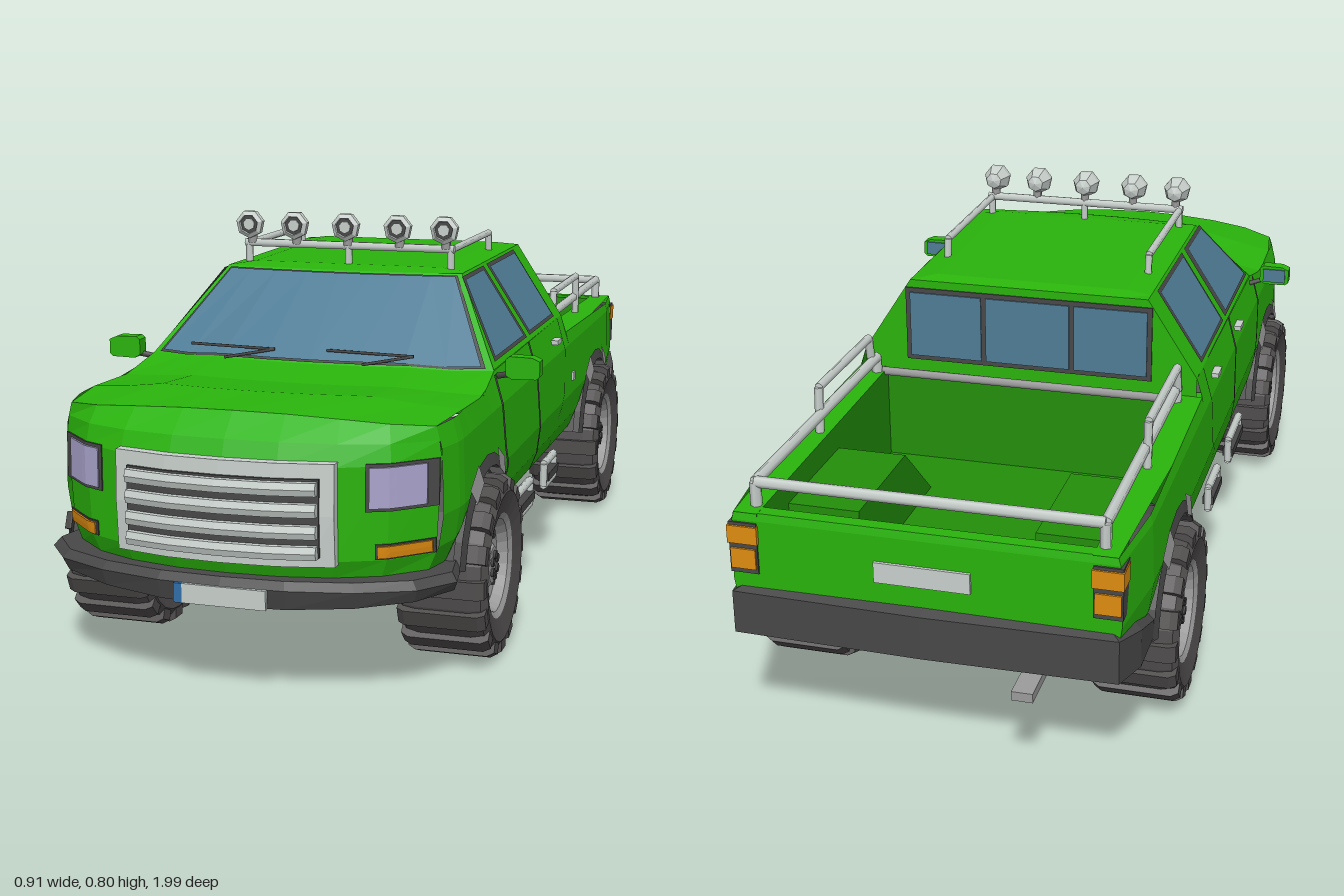
import * as THREE from 'three';
const mat = (name, color) => Object.assign(new THREE.MeshStandardMaterial({ color, side: THREE.DoubleSide }), { name });
const M = {
  green: mat('green paint', 0x2ab40c), bed: mat('bed green', 0x238f0b), trim: mat('dark trim', 0x484848), rubber: mat('tyre rubber', 0x504d4d),
  chrome: mat('chrome', 0xc8d0cc), rim: mat('rim grey', 0x9c9c9c), glass: mat('window glass', 0x507d96),
  lamp: mat('headlamp lens', 0xaaa4cc), orange: mat('indicator orange', 0xe08c10), blue: mat('plate blue', 0x2f6fa8),
};
// Linear lookup in a table of [key, value] with ascending keys
const interp = (t, v) => {
  if (v <= t[0][0]) return t[0][1];
  const i = t.findIndex(e => v <= e[0]);
  return i < 0 ? t[t.length - 1][1] : t[i - 1][1] + (t[i][1] - t[i - 1][1]) * (v - t[i - 1][0]) / (t[i][0] - t[i - 1][0]);
};
// Body rules: half width by height and z, top edge by z, nose plan by width fraction, nose lean by height
const WIDTH = [[0.22, 0.35], [0.28, 0.375], [0.34, 0.384], [0.46, 0.38], [0.5, 0.37], [0.53, 0.36]];
const TOP = [[-0.97, 0.475], [-0.271, 0.49], [-0.27, 0.53], [0.42, 0.525], [0.54, 0.5], [0.69, 0.505], [0.82, 0.5]];
const NOSE = [[0, 0.955], [0.28, 0.95], [0.56, 0.93], [0.8, 0.89], [1, 0.82]];
const LEAN = [[0.235, -0.015], [0.27, 0], [0.44, 0], [0.48, -0.015], [0.52, -0.06]];
const US = [-1, -0.8, -0.56, -0.28, 0, 0.28, 0.56, 0.8, 1];
const AXLES = [0.57, -0.6], WHEEL_Y = 0.177, ARCH = 0.2;
const sideX = (y, z) => interp(WIDTH, y) - Math.max(0, z - 0.75) * 0.25 - Math.max(0, -0.8 - z) * 0.12;
const noseZ = (x, y) => {
  const u = Math.min(1, Math.abs(x) / sideX(y, 0.82));
  return interp(NOSE, u) + interp(LEAN, y) * (1 - u ** 4);
};
const cabX = y => 0.36 - (y - 0.53) * 0.105 / 0.162;
const both = fn => [1, -1].forEach(fn);
const extrude = (pts, depth) => new THREE.ExtrudeGeometry(new THREE.Shape(pts.map(p => new THREE.Vector2(...p))), { depth, bevelEnabled: false });
const lathe = (pts, n) => {
  const g = new THREE.LatheGeometry(pts.map(p => new THREE.Vector2(...p)), n).toNonIndexed();
  g.computeVertexNormals();
  return g;
};

export function createModel() {
  const root = new THREE.Group();
  root.name = 'pickupTruck';
  const add = (name, geo, m, parent = root) => {
    const mesh = new THREE.Mesh(geo, m);
    mesh.name = name;
    parent.add(mesh);
    return mesh;
  };
  // Faceted sheet through rows of points
  const sheet = (name, m, rows) => {
    const p = [], g = new THREE.BufferGeometry();
    for (let i = 0; i < rows.length - 1; i++) for (let j = 0; j < rows[i].length - 1; j++) {
      const [a, b, c, d] = [rows[i][j], rows[i][j + 1], rows[i + 1][j + 1], rows[i + 1][j]];
      p.push(...a, ...b, ...c, ...a, ...c, ...d);
    }
    g.setAttribute('position', new THREE.Float32BufferAttribute(p, 3));
    g.computeVertexNormals();
    add(name, g, m);
  };
  const box = (name, m, x0, x1, y0, y1, z0, z1) => add(name,
    new THREE.BoxGeometry(x1 - x0, y1 - y0, z1 - z0).translate((x0 + x1) / 2, (y0 + y1) / 2, (z0 + z1) / 2), m);
  const bar = (name, m, a, b, r = 0.008) => {
    const A = new THREE.Vector3(...a), B = new THREE.Vector3(...b), d = B.clone().sub(A);
    const c = add(name, new THREE.CylinderGeometry(r, r, d.length(), 6), m);
    c.position.copy(A).add(B).multiplyScalar(0.5);
    c.quaternion.setFromUnitVectors(new THREE.Vector3(0, 1, 0), d.normalize());
  };
  const rail = (name, m, pts, r) => pts.slice(1).forEach((p, i) => bar(name, m, pts[i], p, r));

  // Body sides with wheel arches, liners and flares
  const bottom = z => AXLES.reduce((y, c) => Math.max(y, WHEEL_Y + Math.sqrt(Math.max(0, ARCH ** 2 - (z - c) ** 2))), z < -0.8 ? 0.28 : 0.235);
  const zs = [-0.97, -0.9, -0.271, -0.27, 0, 0.2, 0.42, 0.69, 0.82];
  for (const c of AXLES) for (let i = 0; i <= 10; i++) zs.push(c - ARCH * 0.9999 * Math.cos(i * Math.PI / 10));
  zs.sort((a, b) => a - b);
  both(s => {
    sheet('bodySide', M.green, zs.map(z => [0.235, 0.28, 0.34, 0.46, 1].map(l => {
      const y = Math.min(Math.max(l, bottom(z)), interp(TOP, z));
      return [s * sideX(y, z), y, z];
    })));
    for (const c of AXLES) {
      const arc = (a, r, x) => [s * x, WHEEL_Y + r * Math.sin(a), c + r * Math.cos(a)];
      const angles = Array.from({ length: 11 }, (_, i) => (0.07 + 0.086 * i) * Math.PI);
      sheet('archLiner', M.trim, angles.map(a => [arc(a, ARCH, 0.24), arc(a, ARCH, 0.37)]));
      sheet('archFlare', M.trim, angles.map(a => [arc(a, ARCH - 0.008, 0.36), arc(a, ARCH - 0.008, 0.392), arc(a, ARCH + 0.016, 0.386)]));
      for (const a of [0.34, 0.66]) sheet('flareInsert', M.rim, [-0.05, 0.05].map(d =>
        [ARCH - 0.012, ARCH - 0.012, ARCH + 0.028].map((r, i) => arc((a + d) * Math.PI, r, [0.37, 0.396, 0.388][i]))));
    }
    sheet('sill', M.green, [[[s * 0.25, 0.23, 0.37], [s * 0.25, 0.23, -0.4]], [[s * 0.357, 0.236, 0.37], [s * 0.357, 0.236, -0.4]]]);
  });

  // Nose and bonnet
  const noseRow = (y, drop = 0) => US.map(u => {
    const yy = y - drop * u * u, x = u * sideX(yy, 0.82);
    return [x, yy, noseZ(x, yy)];
  });
  const hoodRow = (z, y) => US.map(u => {
    const zz = z - 0.06 * u * u, e = interp(TOP, zz), a = Math.abs(u);
    return [u * sideX(e, zz), a === 1 ? e : a === 0.8 ? y - (y - e) * 0.6 : y, zz];
  });
  const lip = noseRow(0.522, 0.022), cowl = hoodRow(0.48, 0.53);
  sheet('nose', M.green, [noseRow(0.235), noseRow(0.27), noseRow(0.44), noseRow(0.48, 0.005), lip]);
  sheet('bonnet', M.green, [lip, hoodRow(0.75, 0.527), hoodRow(0.6, 0.515), cowl]);

  // Cab: windscreen, roof, back and sides
  const header = US.map(u => [0.255 * u, 0.692, 0.28 - 0.02 * u * u]);
  const roofRow = (z, rise) => US.map(u => [0.255 * u, 0.692 + rise * (Math.abs(u) < 0.9 ? 1 : 0), z]);
  sheet('windscreenFrame', M.green, [cowl, header]);
  sheet('roof', M.green, [header, roofRow(0.23, 0.007), roofRow(-0.24, 0.007), roofRow(-0.27, 0)]);
  sheet('cabBack', M.green, [[0.36, 0.48], [0.36, 0.53], [0.255, 0.692]].map(([x, y]) => [[-x, y, -0.27], [x, y, -0.27]]));
  const screen = (name, m, t0, t1, k, off) => sheet(name, m, [t0, t1].map(t => US.map((u, i) => {
    const [x, y, z] = cowl[i].map((v, n) => v + (header[i][n] - v) * t);
    return [x * k, y + off, z + (0.06 - 0.04 * t) * u * u * (1 - k * k) + off];
  })));
  screen('windscreenSeal', M.trim, 0.01, 0.97, 0.96, 0.002);
  screen('windscreen', M.glass, 0.025, 0.95, 0.94, 0.004);
  for (const x of [-0.17, 0.12]) rail('wiper', M.trim, [[x - 0.09, 0.556, 0.462], [x + 0.09, 0.553, 0.464], [x - 0.01, 0.535, 0.484]], 0.003);
  box('rearScreenSeal', M.trim, -0.265, 0.265, 0.515, 0.675, -0.273, -0.27);
  for (const [a, b] of [[-0.255, -0.1], [-0.09, 0.09], [0.1, 0.255]]) box('rearScreen', M.glass, a, b, 0.525, 0.665, -0.276, -0.27);
  const mirror = [[0.388, 0.52], [0.388, 0.552], [0.396, 0.558], [0.44, 0.557], [0.456, 0.55], [0.456, 0.52], [0.449, 0.514], [0.4, 0.513]];
  both(s => {
    sheet('cabSide', M.green, [[[s * 0.36, 0.525, 0.42], [s * 0.36, 0.53, -0.27]], [[s * 0.255, 0.692, 0.26], [s * 0.255, 0.692, -0.27]]]);
    const pane = (name, m, z0, z1, zTop, y0, y1, off) => sheet(name, m,
      [[y0, z0], [y1, zTop]].map(([y, z]) => [[s * (cabX(y) + off), y, z], [s * (cabX(y) + off), y, z1]]));
    pane('frontWindowSeal', M.trim, 0.392, 0.092, 0.276, 0.538, 0.688, 0.002);
    pane('frontWindow', M.glass, 0.378, 0.112, 0.272, 0.545, 0.682, 0.004);
    pane('rearWindowSeal', M.trim, 0.065, -0.2, 0.065, 0.538, 0.688, 0.002);
    pane('rearWindow', M.glass, 0.055, -0.19, 0.055, 0.545, 0.682, 0.004);
    // Door seams, handles and mirrors
    const seam = (pts, w) => sheet('doorSeam', M.trim, pts.map(([z, y]) => [-w, w].map(d => [s * (sideX(y, z) + 0.003), y, z + d])));
    seam([[0.432, 0.52], [0.43, 0.46], [0.41, 0.37], [0.385, 0.33], [0.35, 0.24]], 0.007);
    seam([[0.105, 0.53], [0.1, 0.46], [0.078, 0.34], [0.07, 0.28], [0.065, 0.24]], 0.007);
    seam([[-0.21, 0.53], [-0.21, 0.46], [-0.2, 0.36], [-0.17, 0.33], [-0.14, 0.24]], 0.002);
    for (const z of [0.165, -0.13]) box('doorHandle', M.chrome, s * 0.378 - 0.008, s * 0.378 + 0.008, 0.487, 0.497, z - 0.022, z + 0.022);
    bar('mirrorArm', M.trim, [s * 0.355, 0.51, 0.4], [s * 0.4, 0.522, 0.42], 0.006);
    add('mirror', extrude(mirror.map(([x, y]) => [s * x, y]), 0.03).translate(0, 0, 0.405), M.green);
    box('mirrorGlass', M.glass, s * 0.422 - 0.026, s * 0.422 + 0.026, 0.52, 0.551, 0.401, 0.405);
  });

  // Load bed, tailgate and rear lamps
  box('bedFloor', M.bed, -0.31, 0.31, 0.284, 0.29, -0.94, -0.27);
  box('bedUnderside', M.green, -0.33, 0.33, 0.278, 0.284, -0.96, -0.27);
  box('bedFrontWall', M.bed, -0.31, 0.31, 0.28, 0.485, -0.275, -0.265);
  box('tailgateLining', M.bed, -0.31, 0.31, 0.29, 0.47, -0.943, -0.938);
  sheet('tailgate', M.green, [[0.28, -0.97], [0.34, -0.97], [0.46, -0.97], [0.475, -0.967], [0.475, -0.94]]
    .map(([y, z]) => [-1, 1].map(s => [s * (z === -0.94 ? 0.31 : sideX(y, -0.97)), y, z])));
  both(s => {
    const rim = [-0.271, -0.6, -0.97].map(z => [[s * sideX(interp(TOP, z), z), interp(TOP, z), z], [s * 0.31, interp(TOP, z), z], [s * 0.31, 0.28, z]]);
    sheet('bedRim', M.green, rim.map(r => r.slice(0, 2)));
    sheet('bedWall', M.bed, rim.map(r => r.slice(1)));
    add('wheelBox', extrude([[-0.83, 0.29], [-0.42, 0.29], [-0.57, 0.43], [-0.83, 0.43]], 0.142)
      .rotateY(-Math.PI / 2).translate(s > 0 ? 0.312 : -0.17, 0, 0), M.bed);
    rail('bedRail', M.chrome, [[s * 0.325, 0.485, -0.3], [s * 0.325, 0.522, -0.3], [s * 0.325, 0.522, -0.935], [s * 0.325, 0.475, -0.935]], 0.011);
    rail('upperBedRail', M.chrome, [[s * 0.33, 0.522, -0.32], [s * 0.33, 0.575, -0.33], [s * 0.33, 0.575, -0.61], [s * 0.33, 0.48, -0.615]], 0.009);
    const x0 = s > 0 ? 0.312 : -0.366, x1 = x0 + 0.054;
    box('tailLampHousing', M.trim, x0, x1, 0.355, 0.456, -0.974, -0.925);
    box('upperTailLamp', M.orange, x0 - 0.002, x1 + 0.002, 0.415, 0.45, -0.978, -0.93);
    box('lowerTailLamp', M.orange, x0 + 0.003, x1 - 0.003, 0.365, 0.405, -0.978, -0.945);
  });
  bar('rearBedRail', M.chrome, [-0.325, 0.522, -0.935], [0.325, 0.522, -0.935], 0.011);
  bar('bedFrontRail', M.rim, [-0.325, 0.488, -0.29], [0.325, 0.488, -0.29], 0.009);
  box('rearPlate', M.chrome, -0.09, 0.09, 0.37, 0.41, -0.976, -0.97);
  box('fuelCap', M.chrome, 0.375, 0.388, 0.37, 0.39, -0.32, -0.3);

  // Bumpers and front plate
  const rearPlan = [[0.386, -0.8, 0.23, 0.27], [0.384, -0.9, 0.225, 0.305], [0.362, -0.985, 0.235, 0.325], [0, -0.992, 0.235, 0.325]];
  const plan = [[0.38, 0.74], [0.395, 0.83], [0.34, 0.9], [0.24, 0.945], [0.12, 0.97], [0, 0.975]];
  const mirrored = p => [...p, ...p.slice(0, -1).reverse().map(([x, ...r]) => [-x, ...r])];
  sheet('rearBumper', M.trim, mirrored(rearPlan).map(([x, z, lo, hi]) =>
    [[x * 0.94, hi + 0.004, z * 0.975], [x, hi - 0.005, z], [x, lo, z], [x * 0.95, lo - 0.012, z * 0.97]]));
  sheet('frontBumper', M.trim, mirrored(plan).map(([x, z]) => {
    const low = 0.183 + 0.13 * x * x;
    return [[x * 0.8, 0.237, z - 0.07], [x * 0.97, 0.237, z - 0.01], [x, 0.222, z], [x * 0.98, low, z - 0.01], [x * 0.7, low, 0.74]];
  }));
  box('frontPlate', M.chrome, -0.07, 0.088, 0.186, 0.222, 0.97, 0.979);
  box('frontPlateStrip', M.blue, -0.086, -0.07, 0.186, 0.222, 0.97, 0.979);

  // Grille and lamps that follow the curve of the nose
  const band = (name, m, x0, x1, y0, y1, off, base = 0, bulge = 0) => {
    const cols = [[x0, base], ...Array.from({ length: 9 }, (_, i) => [x0 + (x1 - x0) * i / 8, off]), [x1, base]];
    sheet(name, m, [[y0, 0], [y0, 1], [(y0 + y1) / 2, 1 + bulge], [y1, 1], [y1, 0]].map(([y, k]) =>
      cols.map(([x, o]) => [x, y, noseZ(x, y) + base + (o - base) * k])));
  };
  band('grilleFrame', M.chrome, -0.205, 0.205, 0.265, 0.45, 0.02);
  band('grilleMesh', M.trim, -0.18, 0.18, 0.283, 0.424, 0.023, 0.015);
  for (const y of [0.408, 0.37, 0.331, 0.294]) band('grilleSlat', M.chrome, -0.178, 0.178, y - 0.012, y + 0.012, 0.034, 0.02, 0.3);
  both(s => {
    band('headlampFrame', M.trim, s * 0.25, s * 0.361, 0.36, 0.445, 0.004);
    band('headlamp', M.lamp, s * 0.257, s * 0.344, 0.366, 0.439, 0.008);
    band('indicatorFrame', M.trim, s * 0.265, s * 0.355, 0.272, 0.3, 0.004);
    band('indicator', M.orange, s * 0.27, s * 0.351, 0.275, 0.297, 0.009);
    rail('roofRail', M.chrome, [[s * 0.222, 0.69, 0.225], [s * 0.222, 0.735, 0.225], [s * 0.222, 0.735, -0.11], [s * 0.222, 0.69, -0.115]]);
    // Side steps
    for (const [a, b] of [[0.26, 0.11], [-0.04, -0.15]]) {
      const x = s * 0.372;
      rail('sideStep', M.chrome, [[x, 0.228, a], [x, 0.178, a], [x, 0.178, b], [x, 0.228, b], [x, 0.228, a]], 0.009);
      box('stepTread', M.trim, x - 0.012, x + 0.012, 0.188, 0.206, b, a);
    }
  });

  // Spot lamps on the roof bar
  bar('lampBar', M.chrome, [-0.23, 0.737, 0.225], [0.23, 0.737, 0.225], 0.009);
  bar('lampBarPost', M.chrome, [0, 0.695, 0.225], [0, 0.737, 0.225]);
  const spot = lathe([[0, -0.034], [0.018, -0.028], [0.03, 0], [0.03, 0.014], [0.021, 0.02], [0.019, 0.012]], 7).rotateX(Math.PI / 2);
  const disc = r => new THREE.CylinderGeometry(r, r, 0.004, 7).rotateX(Math.PI / 2);
  for (const x of [-0.213, -0.113, 0, 0.113, 0.213]) {
    bar('spotLampStem', M.rim, [x, 0.737, 0.228], [x, 0.765, 0.228], 0.01);
    add('spotLamp', spot, M.chrome).position.set(x, 0.778, 0.235);
    add('spotLampReflector', disc(0.02), M.trim).position.set(x, 0.778, 0.248);
    add('spotLampBulb', disc(0.013), M.chrome).position.set(x, 0.778, 0.251);
  }

  // Underbody, driveline, exhaust and axles
  box('floorPan', M.trim, -0.25, 0.25, 0.226, 0.24, -0.4, 0.37);
  box('engineBay', M.trim, -0.24, 0.24, 0.215, 0.44, 0.36, 0.86);
  box('driveShaft', M.rim, -0.022, 0.022, 0.168, 0.19, -0.6, 0.57);
  box('exhaust', M.rim, -0.21, -0.17, 0.182, 0.2, -1, -0.74);
  box('frontSkid', M.trim, -0.09, 0.09, 0.146, 0.168, 0.61, 0.64);
  box('frontSkidFoot', M.trim, -0.025, 0.025, 0.132, 0.147, 0.61, 0.64);
  const tyre = [[0.1, -0.075], [0.145, -0.086], [0.16, -0.075], [0.166, -0.05], [0.166, 0.05], [0.16, 0.075], [0.145, 0.086], [0.1, 0.075]];
  const rim = [[0.102, 0.076], [0.09, 0.07], [0.08, 0.05], [0.055, 0.045], [0.035, 0.062], [0, 0.065]];
  const bowl = [[0.102, -0.075], [0.092, -0.06], [0.08, 0.02], [0, 0.02]];
  const lug = extrude([[-0.084, -0.02], [-0.084, 0.002], [-0.07, 0.01], [0.07, 0.01], [0.084, 0.002], [0.084, -0.02]], 0.034).translate(0, 0, -0.017);
  const hole = new THREE.CylinderGeometry(0.009, 0.009, 0.008, 6).rotateZ(Math.PI / 2);
  for (const z of AXLES) {
    bar('axle', M.rim, [-0.3, WHEEL_Y, z], [0.3, WHEEL_Y, z]);
    box('differential', M.rim, -0.085, 0.085, 0.15, 0.19, z - 0.035, z + 0.035);
    both(s => {
      const wheel = new THREE.Group();
      wheel.name = 'wheel';
      wheel.position.set(s * 0.338, WHEEL_Y, z);
      wheel.rotation.y = s > 0 ? 0 : Math.PI;
      root.add(wheel);
      for (const [name, pts, m] of [['tyre', tyre, M.rubber], ['rim', rim, M.rim], ['rimInside', bowl, M.rim]]) add(name, lathe(pts, 24).rotateZ(-Math.PI / 2), m, wheel);
      for (const [name, g, m, n, x, r] of [['treadLug', lug, M.rubber, 16, 0, 0.165], ['rimHole', hole, M.trim, 8, 0.049, 0.067], ['wheelNut', hole, M.trim, 6, 0.064, 0.02]]) {
        for (let a = 0; a < n; a++) add(name, g.clone().translate(x, r, 0).rotateX(a * 2 * Math.PI / n), m, wheel);
      }
    });
  }
  return root;
}
